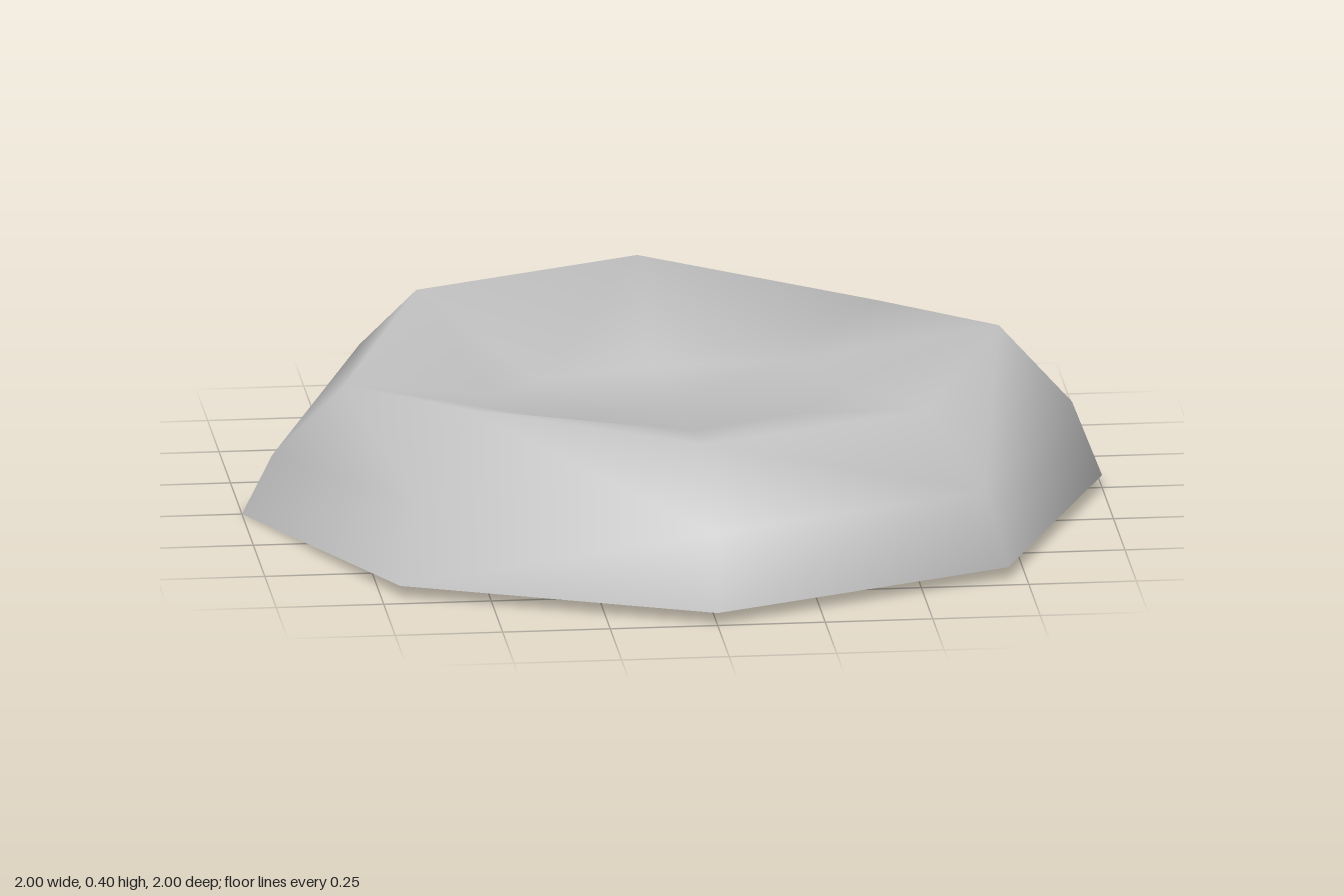
import * as THREE from 'three';

// Low crater mound: an open shell of eight-sided rings with uneven heights.
// Heights run from +x through +z, in steps of 45 degrees.
const RINGS = [
  { r: 1.0, y: [0.03, 0.03, 0.03, 0.03, 0.0, 0.03, 0.03, 0.03] },           // foot
  { r: 0.93, y: [0.21, 0.2, 0.2, 0.21, 0.14, 0.2, 0.2, 0.15] },             // outer slope
  { r: 0.76, y: [0.4, 0.365, 0.365, 0.4, 0.305, 0.365, 0.365, 0.305] },     // rim
  { r: 0.4, y: [0.27, 0.29, 0.29, 0.29, 0.265, 0.215, 0.205, 0.24] },       // bowl
];
const SIDES = 8;
const SHOULDER = 1;               // band between outer slope and rim
const TURNED = [1, 2, 3, 5, 6];   // shoulder facets split along the other diagonal
const FLOOR_Y = 0.235;

function craterGeometry() {
  const pos = [];
  const index = [];
  for (const { r, y } of RINGS) {
    for (let j = 0; j < SIDES; j++) {
      const a = (j / SIDES) * Math.PI * 2;
      pos.push(r * Math.cos(a), y[j], r * Math.sin(a));
    }
  }
  // bands between neighbouring rings
  for (let k = 0; k < RINGS.length - 1; k++) {
    for (let j = 0; j < SIDES; j++) {
      const n = (j + 1) % SIDES;
      const a = k * SIDES + j, b = k * SIDES + n;
      const c = a + SIDES, d = b + SIDES;
      if (k === SHOULDER && TURNED.includes(j)) index.push(a, c, d, a, d, b);
      else index.push(a, c, b, b, c, d);
    }
  }
  // crater floor fan
  const centre = pos.length / 3;
  const last = (RINGS.length - 1) * SIDES;
  pos.push(0, FLOOR_Y, 0);
  for (let j = 0; j < SIDES; j++) index.push(last + j, centre, last + ((j + 1) % SIDES));

  const geo = new THREE.BufferGeometry();
  geo.setAttribute('position', new THREE.Float32BufferAttribute(pos, 3));
  geo.setIndex(index);
  geo.computeVertexNormals();
  return geo;
}

export function createModel() {
  const stone = new THREE.MeshStandardMaterial({ color: 0xc4c4c4, side: THREE.DoubleSide });
  stone.name = 'greyStone';
  const crater = new THREE.Mesh(craterGeometry(), stone);
  crater.name = 'crater';
  const group = new THREE.Group();
  group.name = 'craterMound';
  group.add(crater);
  return group;
}
